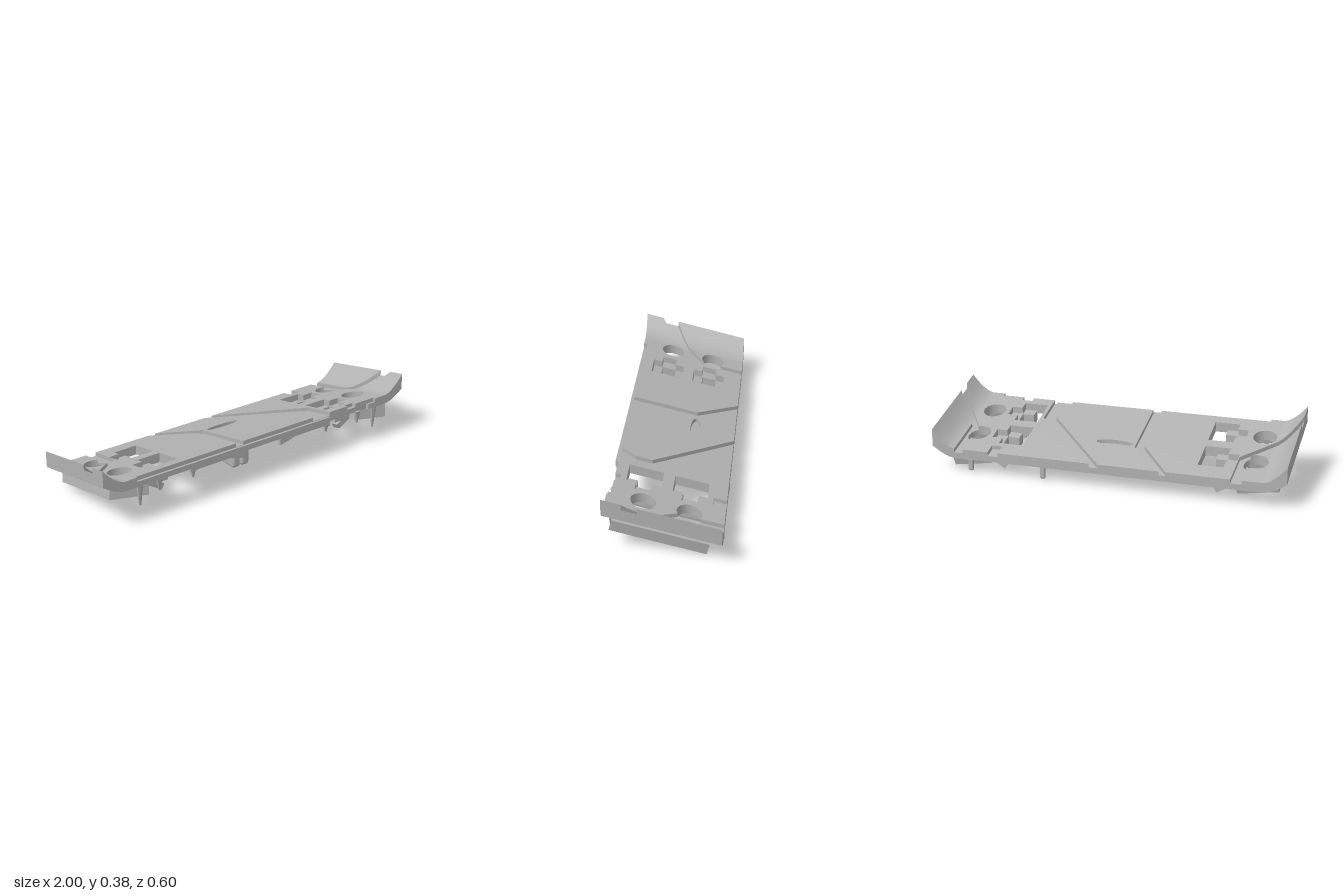
import * as THREE from 'three';
import { toCreasedNormals } from 'three/addons/utils/BufferGeometryUtils.js';
import { RoundedBoxGeometry } from 'three/addons/geometries/RoundedBoxGeometry.js';

const SLOPE = 0.237, TOP = 0.205;   // plate rises to the front; TOP is its height at z = 0
const SKIN = 0.022, THICK = 0.055;  // groove depth and full plate thickness
const R = 0.065;

export function createModel() {
  const model = new THREE.Group();
  const grey = new THREE.MeshStandardMaterial({ color: 0xb2b2b2 });
  grey.name = 'plain grey';

  const add = (name, geo) => {
    const mesh = new THREE.Mesh(geo, grey);
    mesh.name = name;
    model.add(mesh);
    return mesh;
  };
  // Places a part built level, with the plate top at y = 0, onto the slope
  const shear = new THREE.Matrix4().set(1, 0, 0, 0, 0, 1, SLOPE, TOP, 0, 0, 1, 0, 0, 0, 0, 1);
  const addSloped = (name, geo) => {
    const g = geo.index ? geo.toNonIndexed() : geo;
    g.applyMatrix4(shear);
    g.computeVertexNormals();
    return add(name, toCreasedNormals(g, 0.5));
  };
  const block = (name, x0, x1, y0, y1, z0, z1) => addSloped(name,
    new THREE.BoxGeometry(x1 - x0, y1 - y0, z1 - z0)
      .translate((x0 + x1) / 2, (y0 + y1) / 2, (z0 + z1) / 2));

  // Outlines are in x, z
  const outline = pts => new THREE.Shape(pts.map(p => new THREE.Vector2(...p)));
  const circle = (x, z) => new THREE.Path().absarc(x, z, R, 0, Math.PI * 2);
  const pocket = (s, dz) => new THREE.Path([
    [0.5, -0.2], [0.64, -0.2], [0.64, -0.15], [0.7, -0.15],
    [0.7, -0.07], [0.64, -0.07], [0.64, -0.02], [0.5, -0.02],
  ].map(([x, z]) => new THREE.Vector2(s * x, z + dz)));
  const pockets = s => [pocket(s, 0), pocket(s, 0.24)];
  const sheet = (name, shape, y, depth, holes = []) => {
    shape.holes.push(...holes);
    addSloped(name, new THREE.ExtrudeGeometry(shape, { depth, bevelEnabled: false, curveSegments: 20 })
      .rotateX(Math.PI / 2).translate(0, y, 0));
  };

  // Base layer under the grooves
  sheet('basePlate', outline([[-0.87, -0.3], [0.87, -0.3], [0.87, 0.3], [0.8, 0.3], [0.8, 0.28],
    [-0.8, 0.28], [-0.8, 0.3], [-0.87, 0.3]]), -SKIN, THICK - SKIN,
  [circle(-0.8, -0.12), circle(-0.8, 0.12), circle(0.79, -0.12), circle(0.79, 0.115),
    ...pockets(1), ...pockets(-1)]);

  // Raised panels, separated by grooves
  const outer = new THREE.Shape();
  outer.moveTo(-0.87, -0.3).lineTo(-0.76, -0.3).lineTo(-0.76, -0.171);
  outer.absarc(-0.8, -0.12, R, -0.908, 0.908, true);
  outer.lineTo(-0.87, 0.02);
  sheet('rightOuterPanel', outer, 0, SKIN);

  sheet('rightPanel', outline([[-0.7, -0.3], [-0.35, -0.3], [-0.17, -0.08], [-0.17, 0.28],
    [-0.8, 0.28], [-0.8, 0.3], [-0.87, 0.3], [-0.87, 0.08], [-0.705, -0.09]]), 0, SKIN,
  [circle(-0.8, 0.12), ...pockets(-1)]);

  const slot = new THREE.Path().absellipse(0, -0.08, 0.105, 0.026, 0, Math.PI * 2);
  sheet('middlePanel', outline([[-0.31, -0.3], [0.03, -0.3], [0.41, 0.11], [0.41, 0.2],
    [0.36, 0.28], [-0.12, 0.28], [-0.12, -0.1]]), 0, SKIN, [slot]);

  const left = outline([[0.08, -0.3], [0.61, -0.3], [0.61, -0.23], [0.67, -0.23],
    [0.67, -0.3], [0.82, -0.3], [0.82, -0.178]]);
  left.absarc(0.79, -0.12, R, -1.091, 1.091, true);
  for (const p of [[0.87, 0.02], [0.87, 0.3], [0.8, 0.3], [0.8, 0.28], [0.67, 0.28], [0.67, 0.25],
    [0.61, 0.25], [0.61, 0.28], [0.48, 0.28], [0.48, 0.09]]) left.lineTo(...p);
  sheet('leftPanel', left, 0, SKIN, [circle(0.79, 0.115), ...pockets(1)]);

  // Upturned ends; edges in z run linearly from the plate to the tip
  const endSlab = (name, s, back, front, yLow, yHigh) => {
    const geo = new THREE.BoxGeometry(0.13, 1, 1, 12, 1, 1);
    const p = geo.attributes.position;
    for (let i = 0; i < p.count; i++) {
      let t = p.getX(i) / 0.13 + 0.5;
      if (s < 0) t = 1 - t;
      const curve = Math.pow(t, 1.7);
      const z = p.getZ(i) < 0 ? back : front, y = p.getY(i) < 0 ? yLow : yHigh;
      p.setXYZ(i, s * (0.87 + 0.13 * t), y[0] + y[1] * curve, z[0] + (z[1] - z[0]) * t);
    }
    addSloped(name, geo);
  };
  for (const [side, s, g0, g1] of [['left', 1, [-0.04, 0.12], [0.02, 0.2]],
    ['right', -1, [0.02, 0.11], [0.08, 0.2]]]) {
    endSlab(side + 'EndBase', s, [-0.3, -0.3], [0.3, 0.3], [-THICK, 0.06], [-SKIN, 0.09]);
    endSlab(side + 'EndBackPanel', s, [-0.3, -0.3], g0, [-SKIN, 0.09], [0, 0.1]);
    endSlab(side + 'EndFrontPanel', s, g1, [0.3, 0.3], [-SKIN, 0.09], [0, 0.1]);
  }

  // Clip blocks set low in the pockets, with slanted straps beneath
  for (const s of [-1, 1]) {
    for (const dz of [0, 0.24]) {
      const put = (name, a, b, y0, y1, z0, z1) =>
        block(name, Math.min(s * a, s * b), Math.max(s * a, s * b), y0, y1, z0 + dz, z1 + dz);
      put('pocketBackBlock', 0.57, 0.645, -0.1, -0.04, -0.205, -0.15);
      put('pocketFrontBlock', 0.57, 0.645, -0.1, -0.04, -0.07, -0.015);
      put('pocketOuterBlock', 0.635, 0.71, -0.09, -0.035, -0.155, -0.065);
      for (const z of [-0.178, -0.043]) {
        addSloped('pocketStrap', new THREE.BoxGeometry(0.11, 0.035, 0.05)
          .rotateZ(s * 0.55).translate(s * 0.645, -0.105, z + dz));
      }
    }
  }

  // Open two-cell frames slung below the ends
  const rect = (C, x0, x1, z0, z1) => new C([[x0, z0], [x1, z0], [x1, z1], [x0, z1]]
    .map(p => new THREE.Vector2(...p)));
  for (const [name, x, y] of [['leftFrame', 0.795, 0.118], ['rightFrame', -0.83, 0.137]]) {
    const shape = rect(THREE.Shape, -0.115, 0.115, -0.255, 0.255);
    shape.holes.push(rect(THREE.Path, -0.095, 0.095, -0.235, -0.012),
      rect(THREE.Path, -0.095, 0.095, 0.012, 0.235));
    const frame = add(name, new THREE.ExtrudeGeometry(shape, { depth: 0.072, bevelEnabled: false })
      .rotateX(Math.PI / 2).translate(0, 0.036, 0));
    frame.position.set(x, y, 0.018);
    frame.rotation.set(-Math.atan(SLOPE), 0, -0.17);
  }

  // Uneven front sill and its hanging lips
  block('frontSill', -0.8, 0.47, -THICK, -0.024, 0.275, 0.3);
  block('frontSillEnd', 0.75, 0.8, -THICK, -0.024, 0.275, 0.3);
  for (const s of [-1, 1]) {
    const lip = outline([[s * 0.47, -0.04], [s * 0.12, -0.04], [s * 0.12, -0.095],
      [s * 0.17, -0.085], [s * 0.22, -0.07], [s * 0.42, -0.07], [s * 0.47, -0.08]]);
    addSloped('frontLip', new THREE.ExtrudeGeometry(lip, { depth: 0.022, bevelEnabled: false })
      .translate(0, 0, 0.275));
  }
  // Tapered hooks along the front edge
  for (const [x, len] of [[-0.78, 0.12], [-0.66, 0.07], [-0.45, 0.06], [0.45, 0.06], [0.68, 0.07], [0.8, 0.13]]) {
    addSloped('frontHook', new THREE.CylinderGeometry(0.022, 0.007, len, 8)
      .scale(1, 1, 0.6).translate(x, -0.05 - len / 2, 0.285));
  }

  // Pins under the back edge
  for (const x of [0.35, 0.775]) {
    add('backPin', new RoundedBoxGeometry(0.03, 0.1, 0.02, 2, 0.008)).position.set(x, 0.063, -0.289);
  }

  // Central clip with a raised middle rib, and the swelling above it
  for (const s of [-1, 1]) {
    add('centreClipProng', new RoundedBoxGeometry(0.055, 0.18, 0.13, 3, 0.018)).position.set(s * 0.03, 0.09, 0.034);
  }
  add('centreClipRib', new RoundedBoxGeometry(0.126, 0.165, 0.04, 3, 0.012)).position.set(0, 0.09, 0.03);
  addSloped('slotSwelling', new THREE.SphereGeometry(1, 24, 12)
    .scale(0.12, 0.018, 0.04).translate(0, -THICK, -0.08));

  return model;
}
